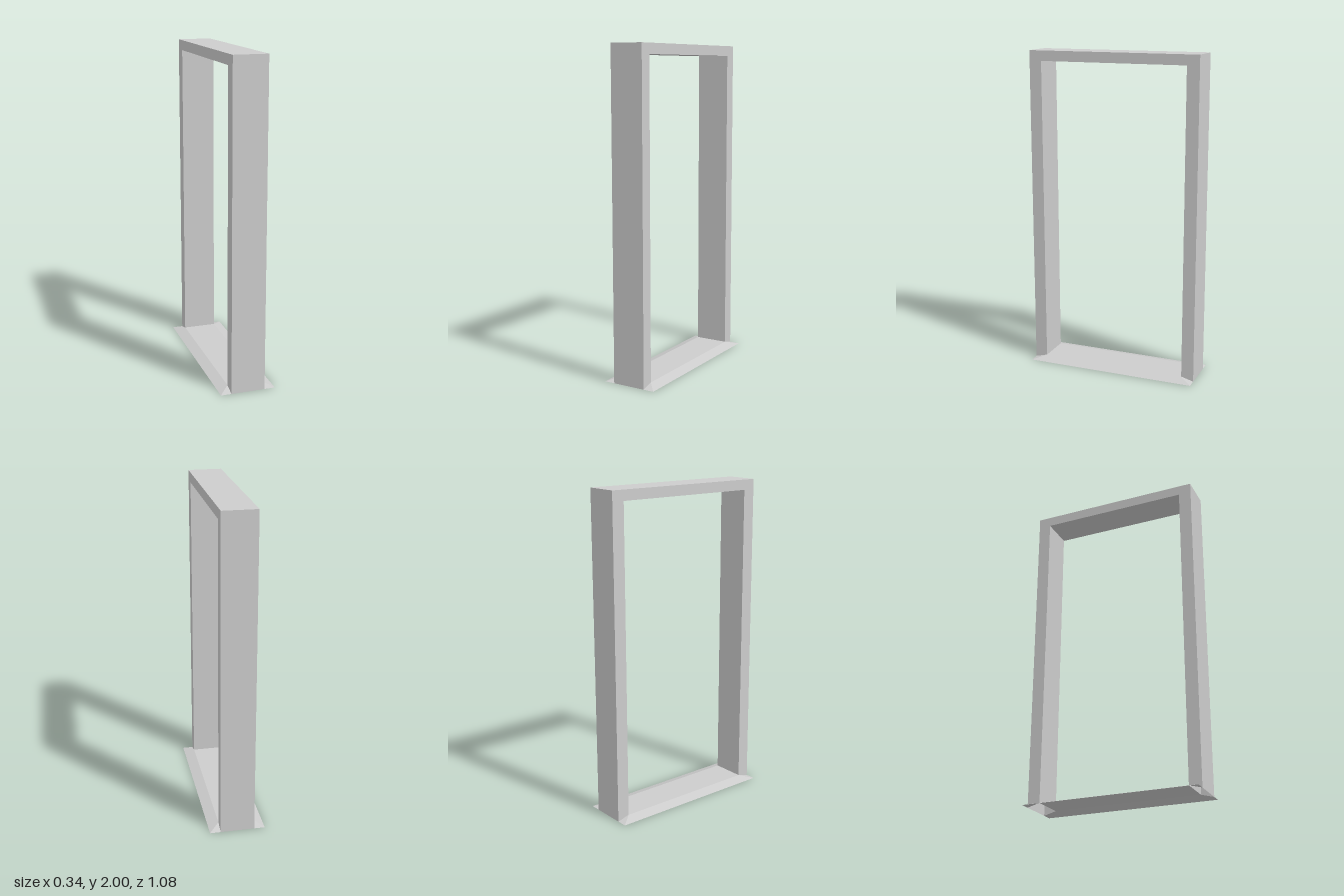
import * as THREE from 'three';

const W = 0.105, FLARE = 0.171;        // half widths: frame, threshold foot
const OUT = 0.542, IN = 0.464;         // half depths: outer and inner frame
const TOP = 2, LINTEL = 1.937, SILL = 0.021;

// Faceted skin between two matching rows of points
function strip(a, b) {
  const pos = [];
  const tri = (...pts) => {
    const t = new THREE.Triangle(...pts);
    if (t.getArea() > 1e-7) pts.forEach((p) => pos.push(p.x, p.y, p.z));
  };
  for (let i = 0; i < a.length - 1; i++) {
    tri(a[i], a[i + 1], b[i + 1]);
    tri(a[i], b[i + 1], b[i]);
  }
  const geo = new THREE.BufferGeometry();
  geo.setAttribute('position', new THREE.Float32BufferAttribute(pos, 3));
  geo.computeVertexNormals();
  return geo;
}

// Upside-down U outline in the plane at x
const arch = (x, z, foot, top) =>
  [[foot, z], [top, z], [top, -z], [foot, -z]].map(([y, zz]) => new THREE.Vector3(x, y, zz));

export function createModel() {
  const model = new THREE.Group();
  model.name = 'doorFrame';
  const grey = new THREE.MeshStandardMaterial({ color: 0xcccccc, side: THREE.DoubleSide });
  grey.name = 'light grey';
  grey.flatShading = true;

  const add = (name, a, b) => {
    const mesh = new THREE.Mesh(strip(a, b), grey);
    mesh.name = name;
    model.add(mesh);
  };

  const outer = (x) => arch(x, OUT, 0, TOP);
  const inner = (x) => arch(x, IN, SILL, LINTEL);

  // Hollow frame, open at the feet
  add('frameOuterSkin', outer(W), outer(-W));
  add('frameInnerSkin', inner(-W), inner(W));
  add('frameLeftSide', inner(W), outer(W));
  add('frameRightSide', outer(-W), inner(-W));

  // Raised threshold between the posts
  const sillEdge = (x) => [IN, -IN].map((z) => new THREE.Vector3(x, SILL, z));
  add('thresholdTop', sillEdge(W), sillEdge(-W));

  // Sloping skirts with corner triangles beside the posts
  for (const s of [1, -1]) {
    const foot = [[W, OUT], [FLARE, OUT], [FLARE, -OUT], [W, -OUT]]
      .map(([x, z]) => new THREE.Vector3(s * x, 0, z));
    const ridge = [IN, IN, -IN, -IN].map((z) => new THREE.Vector3(s * W, SILL, z));
    const name = s > 0 ? 'thresholdLeftSlope' : 'thresholdRightSlope';
    if (s > 0) add(name, foot, ridge);
    else add(name, foot.reverse(), ridge.reverse());
  }
  return model;
}
